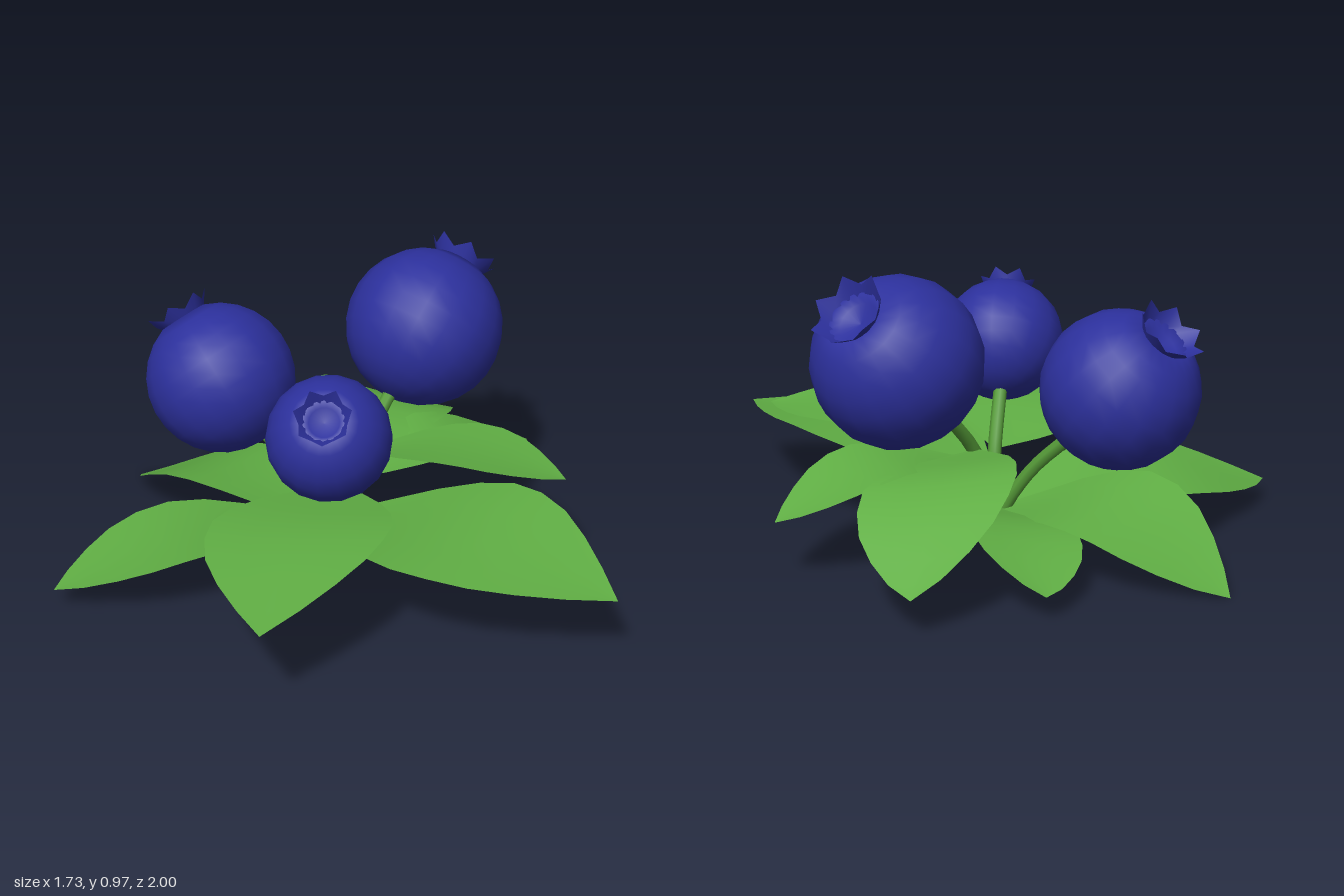
import * as THREE from 'three';

const V = (p) => new THREE.Vector3(...p);
const berryMat = new THREE.MeshStandardMaterial({ color: 0x2c309c });
const crownMat = new THREE.MeshStandardMaterial({ color: 0x2c309c, side: THREE.DoubleSide });
const stemMat = new THREE.MeshStandardMaterial({ color: 0x559a38 });
const leafMat = new THREE.MeshStandardMaterial({ color: 0x60ae44, side: THREE.DoubleSide });

// Grid surface from rows of points
function loft(rows, closed) {
  const pos = [], idx = [], n = rows[0].length;
  rows.forEach((row) => row.forEach((p) => pos.push(p.x, p.y, p.z)));
  for (let i = 0; i < rows.length - 1; i++) {
    for (let j = 0; j < (closed ? n : n - 1); j++) {
      const a = i * n + j, b = i * n + ((j + 1) % n);
      idx.push(a, a + n, b, b, a + n, b + n);
    }
  }
  const g = new THREE.BufferGeometry();
  g.setAttribute('position', new THREE.Float32BufferAttribute(pos, 3));
  g.setIndex(idx);
  g.computeVertexNormals();
  return g;
}

// Round fruit with a dimple and a flared, toothed crown on its +y end
function berry(name, centre, radius, dir) {
  const group = new THREE.Group();
  group.name = name;
  const profile = [];
  const open = 0.33; // polar angle where the dimple starts
  for (let i = 0; i <= 12; i++) {
    const a = Math.PI - (Math.PI - open) * (i / 12);
    profile.push(new THREE.Vector2(Math.max(Math.sin(a), 0), Math.cos(a)));
  }
  profile.push(new THREE.Vector2(0.24, 0.85), new THREE.Vector2(0, 0.8));
  const body = new THREE.Mesh(new THREE.LatheGeometry(profile, 18), berryMat);
  body.name = 'berryBody';

  const teeth = 7, base = [], edge = [];
  for (let i = 0; i < teeth * 2; i++) {
    const a = (i / (teeth * 2)) * Math.PI * 2;
    const tip = i % 2 === 0;
    const r = tip ? 0.46 : 0.38, h = tip ? 1.14 : 1.02;
    base.push(new THREE.Vector3(Math.sin(a) * 0.3, 0.91, Math.cos(a) * 0.3));
    edge.push(new THREE.Vector3(Math.sin(a) * r, h, Math.cos(a) * r));
  }
  const crown = new THREE.Mesh(loft([base, edge], true), crownMat);
  crown.name = 'crown';
  group.add(body, crown);
  group.position.copy(V(centre));
  group.scale.setScalar(radius);
  group.quaternion.setFromUnitVectors(new THREE.Vector3(0, 1, 0), V(dir).normalize());
  return group;
}

// Half width along the blade, from stalk to tip
const blade = [0.05, 0.4, 0.7, 0.9, 1, 0.97, 0.85, 0.62, 0.33, 0];

// Blade along base-middle-tip; roll raises its right edge, blunt fills out the tip
function leaf(name, [base, mid, tip], width, roll, blunt) {
  const curve = new THREE.CatmullRomCurve3([V(base), V(mid), V(tip)]);
  const rows = blade.map((w, i) => {
    const u = i / (blade.length - 1);
    const t = 1 - Math.pow(1 - u, blunt);
    const p = curve.getPoint(t), d = curve.getTangent(t);
    const side = new THREE.Vector3(-d.z, 0, d.x).normalize().multiplyScalar(width);
    side.y = roll;
    return [-1, -0.5, 0, 0.5, 1].map((s) => {
      const q = p.clone().addScaledVector(side, s * w);
      q.y += 0.012 * w * (s * s - 0.5);
      return q;
    });
  });
  const mesh = new THREE.Mesh(loft(rows, false), leafMat);
  mesh.name = name;
  return mesh;
}

function stem(name, points) {
  const group = new THREE.Group();
  group.name = name;
  const curve = new THREE.CatmullRomCurve3(points.map(V));
  const tube = new THREE.Mesh(new THREE.TubeGeometry(curve, 10, 0.022, 8), stemMat);
  tube.name = 'stalk';
  // Cut end at the foot
  const cap = new THREE.Mesh(new THREE.CircleGeometry(0.022, 8), stemMat);
  cap.name = 'cutEnd';
  cap.position.copy(V(points[0]));
  cap.quaternion.setFromUnitVectors(new THREE.Vector3(0, 0, 1), curve.getTangent(0).negate());
  group.add(tube, cap);
  return group;
}

export function createModel() {
  const model = new THREE.Group();
  model.name = 'berrySprig';

  // Berries
  model.add(
    berry('leftBerry', [0.488, 0.675, -0.11], 0.265, [0.71, 0.7, 0]),
    berry('backBerry', [-0.06, 0.55, -0.53], 0.25, [-0.1, 0.77, -0.61]),
    berry('rightBerry', [-0.19, 0.57, 0.065], 0.2, [-0.6, 0.68, 0.42]),
  );

  // Stems
  model.add(
    stem('leftStem', [[0.072, 0.015, -0.105], [0.075, 0.16, -0.105], [0.14, 0.31, -0.105], [0.34, 0.52, -0.11]]),
    stem('backStem', [[0.052, 0.015, -0.135], [0.052, 0.08, -0.145], [0.02, 0.24, -0.24], [-0.02, 0.4, -0.4]]),
    stem('rightStem', [[0.038, 0.015, -0.1], [0.04, 0.17, -0.1], [0.01, 0.29, -0.08], [-0.1, 0.47, -0.01]]),
  );

  // Leaves: points, half width, roll, bluntness
  const leaves = [
    ['frontLeaf', [[0.04, 0.15, -0.1], [0.04, 0.285, 0.45], [0.07, 0.23, 1]], 0.32, -0.02, 1],
    ['frontRightLeaf', [[0.01, 0.28, -0.08], [-0.4, 0.345, 0.12], [-0.87, 0.3, 0.4]], 0.29, -0.03, 1],
    ['frontLeftLeaf', [[0.15, 0.35, -0.09], [0.27, 0.43, 0.24], [0.37, 0.38, 0.58]], 0.2, 0.02, 1.1],
    ['backLeftLeaf', [[0.14, 0.31, -0.11], [0.52, 0.345, -0.31], [0.86, 0.13, -0.51]], 0.235, -0.045, 1.2],
    ['leftLeaf', [[0.1, 0.26, -0.1], [0.46, 0.325, 0.01], [0.81, 0.2, 0.1]], 0.175, 0, 1.15],
    ['backLeaf', [[0.04, 0.1, -0.13], [0, 0.2, -0.56], [-0.01, 0.005, -1]], 0.235, -0.03, 1.1],
    ['backRightLeaf', [[0.03, 0.11, -0.13], [-0.4, 0.18, -0.36], [-0.825, 0.065, -0.55]], 0.245, -0.03, 1.15],
    ['backLowerLeaf', [[0.06, 0.1, -0.13], [0.29, 0.18, -0.43], [0.5, 0.085, -0.71]], 0.175, 0.035, 1.25],
  ];
  leaves.forEach((l) => model.add(leaf(...l)));
  return model;
}
